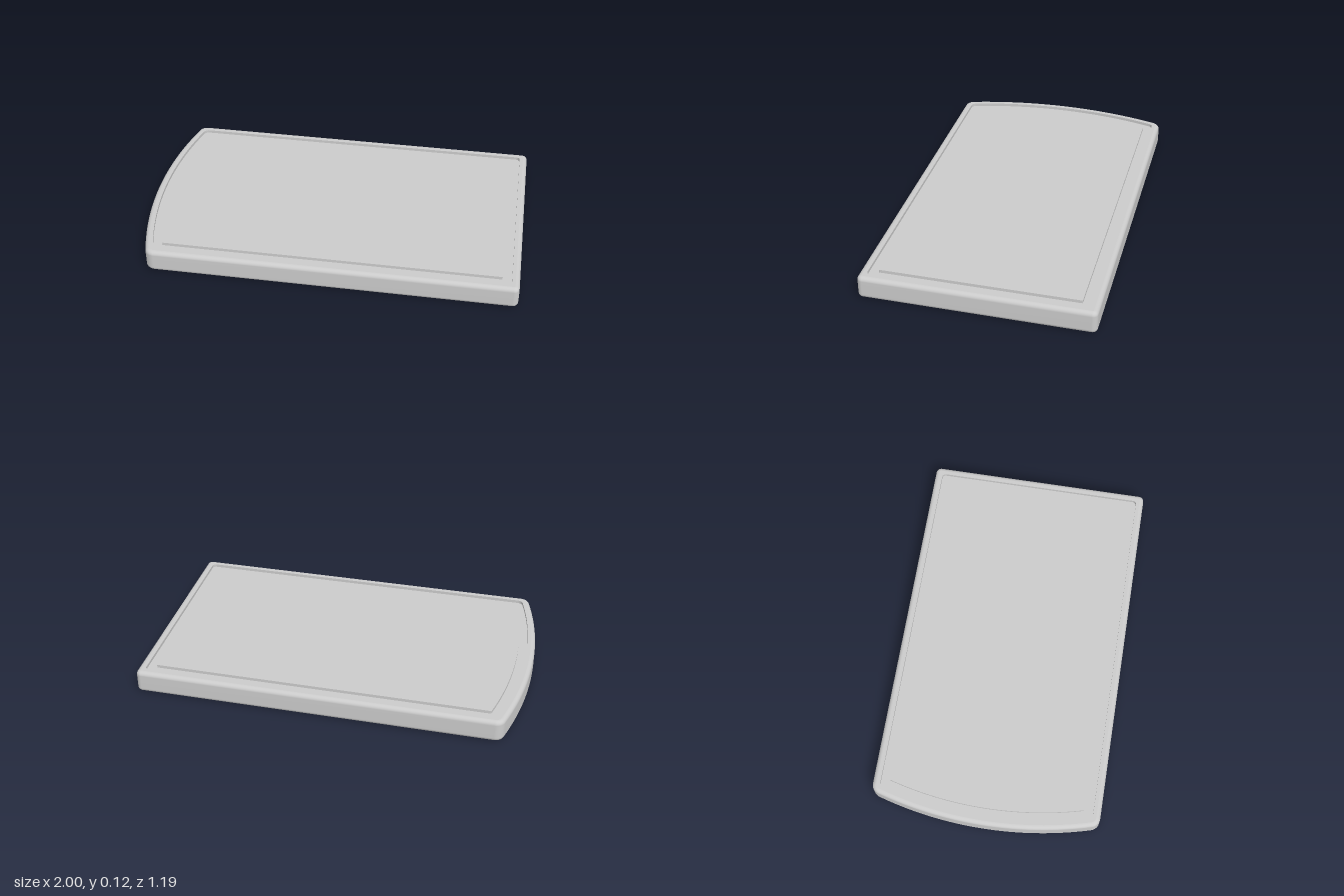
import * as THREE from 'three';

const HALF_DEPTH = 0.597, ARC_RADIUS = 2, HEIGHT = 0.12, FILLET = 0.022;
const CORNER_STEPS = 8, ARC_STEPS = 32;

// Board outline moved inwards by inset: square right end, bowed left end, rounded corners
function outline(inset, rRight, rLeft) {
  const w = HALF_DEPTH - inset, R = ARC_RADIUS - inset;
  const cornerX = 1 - inset - rRight, cornerZ = w - rRight;
  const leftZ = w - rLeft, leftX = 1 - Math.sqrt((R - rLeft) ** 2 - leftZ ** 2);
  const end = Math.atan2(leftZ, leftX - 1);
  const half = [];
  const arc = (cx, cz, r, a0, a1, n) => {
    for (let i = 0; i <= n; i++) {
      const a = a0 + (a1 - a0) * i / n;
      half.push([cx + r * Math.cos(a), cz + r * Math.sin(a)]);
    }
  };
  arc(cornerX, cornerZ, rRight, 0, Math.PI / 2, CORNER_STEPS);
  arc(leftX, leftZ, rLeft, Math.PI / 2, end, CORNER_STEPS);
  const mirrored = half.map(([x, z]) => [x, -z]).reverse();
  // bowed end between the two left corners
  for (let i = 1; i < ARC_STEPS; i++) {
    const a = end + (2 * Math.PI - 2 * end) * i / ARC_STEPS;
    half.push([1 + R * Math.cos(a), R * Math.sin(a)]);
  }
  return half.concat(mirrored);
}

const ring = (inset, y, rRight, rLeft) =>
  outline(inset, rRight, rLeft).map(([x, z]) => [x, y, z]);

const centre = (like) => like.map(([, y]) => [0, y, 0]);

// Smooth skin through a list of rings
function loft(name, rings, material) {
  const n = rings[0].length, index = [];
  for (let i = 0; i < rings.length - 1; i++) {
    for (let j = 0; j < n; j++) {
      const a = i * n + j, b = i * n + (j + 1) % n;
      index.push(a, a + n, b, b, a + n, b + n);
    }
  }
  const geometry = new THREE.BufferGeometry();
  geometry.setAttribute('position', new THREE.Float32BufferAttribute(rings.flat(2), 3));
  geometry.setIndex(index);
  geometry.computeVertexNormals();
  const mesh = new THREE.Mesh(geometry, material);
  mesh.name = name;
  return mesh;
}

export function createModel() {
  const group = new THREE.Group();
  group.name = 'cuttingBoard';
  const material = new THREE.MeshStandardMaterial({ color: 0xcccccc });

  // Side wall with rounded lower and upper edges
  const side = [];
  const edgeRing = (a, y) => {
    const d = FILLET * (1 - Math.cos(a));
    side.push(ring(d, y, 0.028 - d, 0.05 - d));
  };
  for (let i = 0; i <= 6; i++) {
    const a = (1 - i / 6) * Math.PI / 2;
    edgeRing(a, FILLET * (1 - Math.sin(a)));
  }
  for (let i = 0; i <= 6; i++) {
    const a = i / 6 * Math.PI / 2;
    edgeRing(a, HEIGHT - FILLET * (1 - Math.sin(a)));
  }

  // Juice groove edges
  const floorY = HEIGHT - 0.016;
  const outer = (y) => ring(0.04, y, 0.02, 0.03);
  const inner = (y) => ring(0.088, y, 0.003, 0.006);
  const bottom = side[0], rimEdge = side[side.length - 1];

  group.add(
    loft('underside', [centre(bottom), bottom], material),
    loft('sideWall', side, material),
    loft('rim', [rimEdge, outer(HEIGHT)], material),
    loft('grooveOuterWall', [outer(HEIGHT), outer(floorY)], material),
    loft('grooveFloor', [outer(floorY), inner(floorY)], material),
    loft('grooveInnerWall', [inner(floorY), inner(HEIGHT)], material),
    loft('cuttingSurface', [inner(HEIGHT), centre(inner(HEIGHT))], material)
  );
  return group;
}
